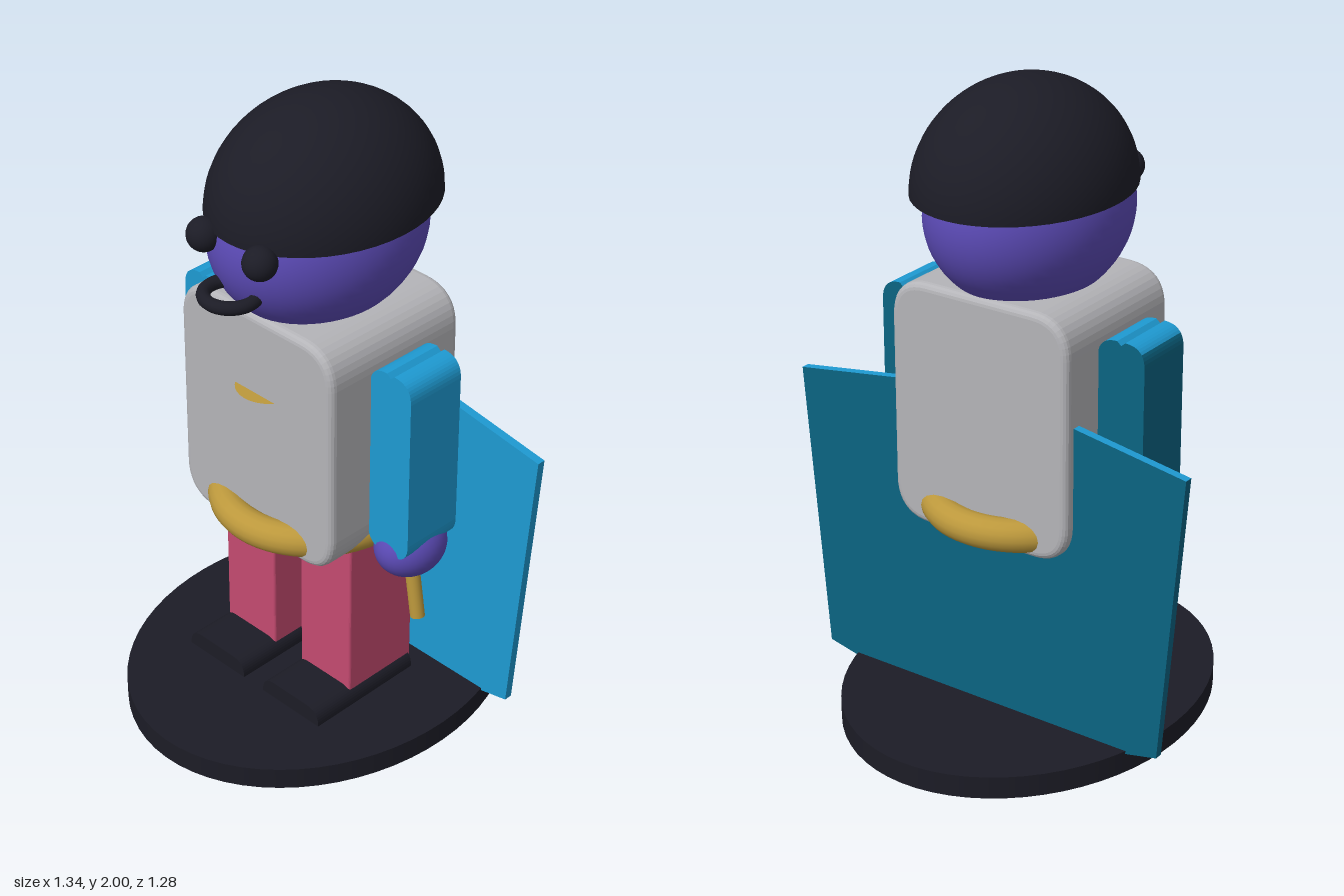
import * as THREE from 'three';

const mat = (name, color, side = THREE.FrontSide) => {
  const m = new THREE.MeshStandardMaterial({ color, side });
  m.name = name;
  return m;
};

// Rounded rectangle centred on the origin; lobe cuts a small notch into both ends
function roundedShape(w, h, r, lobe = 0) {
  const x = w / 2, y = h / 2, s = new THREE.Shape();
  s.moveTo(-x, -y + r);
  s.quadraticCurveTo(-x, -y, -x + r, -y);
  if (lobe) s.lineTo(0, -y + lobe);
  s.lineTo(x - r, -y);
  s.quadraticCurveTo(x, -y, x, -y + r);
  s.lineTo(x, y - r);
  s.quadraticCurveTo(x, y, x - r, y);
  if (lobe) s.lineTo(0, y - lobe);
  s.lineTo(-x + r, y);
  s.quadraticCurveTo(-x, y, -x, y - r);
  return s;
}

// Block with the rounded outline facing front, sized w x h x d overall
function roundedBlock(w, h, d, r, bevel = 0, lobe = 0) {
  const g = new THREE.ExtrudeGeometry(
    roundedShape(w - 2 * bevel, h - 2 * bevel, r, lobe),
    {
      depth: d - 2 * bevel, curveSegments: 10, bevelEnabled: bevel > 0,
      bevelSize: bevel, bevelThickness: bevel, bevelSegments: 4
    });
  return g.translate(0, 0, -d / 2 + bevel);
}

// Two-tone cloth: back faces, and faces towards the model's right, take the second material
function twoTone(g) {
  const n = g.attributes.normal;
  g.clearGroups();
  for (let i = 0; i < n.count; i += 3) {
    g.addGroup(i, 3, n.getZ(i) < -0.5 || n.getX(i) < -0.8 ? 1 : 0);
  }
  return g;
}

export function createModel() {
  const model = new THREE.Group();
  model.name = 'figurine';
  const dark = mat('charcoal', 0x1c1c26, THREE.DoubleSide);
  const purple = mat('purple', 0x5b4ab5);
  const grey = mat('grey', 0xb4b4b8);
  const blue = mat('blue', 0x1e9ad2);
  const deepBlue = mat('deepBlue', 0x0a6482);
  const red = mat('red', 0xc44a70);
  const gold = mat('gold', 0xbc983c, THREE.DoubleSide);
  const cloth = [blue, deepBlue];

  const add = (name, geometry, material, x = 0, y = 0, z = 0) => {
    const mesh = new THREE.Mesh(geometry, material);
    mesh.name = name;
    mesh.position.set(x, y, z);
    model.add(mesh);
    return mesh;
  };

  // Oval stand
  add('base', new THREE.CylinderGeometry(1, 1, 0.07, 64).scale(0.525, 1, 0.64), dark, 0, 0.082, 0);

  // Body, belt and the thin chest disc that just breaks the surface
  add('torso', roundedBlock(0.608, 0.755, 0.51, 0.1, 0.022), grey, 0, 1.042, 0);
  const belt = new THREE.TorusGeometry(0.29, 0.05, 16, 64).rotateX(Math.PI / 2);
  add('belt', belt.scale(0.93, 1, 1), gold, 0, 0.722, 0);
  add('chestDisc', new THREE.CircleGeometry(0.1, 32).rotateX(-Math.PI / 2), gold, 0, 1.165, 0.195);

  // Head
  add('head', new THREE.SphereGeometry(1, 48, 32).scale(0.28, 0.28, 0.342), purple, 0, 1.615, 0.002);
  const dome = new THREE.SphereGeometry(1, 48, 20, 0, Math.PI * 2, 0, Math.PI / 2);
  add('hair', dome.scale(0.3, 0.315, 0.365), dark, 0, 1.685, -0.022);
  add('mouth', new THREE.TorusGeometry(0.075, 0.02, 12, 40).rotateX(Math.PI / 2), dark, 0, 1.525, 0.338);

  // Mirrored parts
  for (const [side, s] of [['left', 1], ['right', -1]]) {
    add(side + 'Eye', new THREE.SphereGeometry(0.05, 24, 16), dark, s * 0.11, 1.665, 0.331);
    add(side + 'Arm', twoTone(roundedBlock(0.155, 0.61, 0.2, 0.064, 0, 0.012)), cloth, s * 0.378, 1.022, 0);
    add(side + 'Hand', new THREE.SphereGeometry(1, 32, 20).scale(0.098, 0.098, 0.116), purple, s * 0.374, 0.705, 0);
    add(side + 'Leg', roundedBlock(0.207, 0.8, 0.265, 0.07, 0.008), red, s * 0.16, 0.435, 0.002);
    add(side + 'Shoe', roundedBlock(0.236, 0.115, 0.4, 0.05), dark, s * 0.16, 0.114, 0.08);
  }

  // Short stick held in the left hand
  const stick = add('stick', new THREE.CylinderGeometry(0.022, 0.022, 0.24, 20), gold, 0.41, 0.598, 0.022);
  stick.rotation.z = 0.16;

  // Flat cape with a darker back
  const outline = new THREE.Shape([
    [0, 0], [0.597, 0.13], [0.672, 1.032], [0, 1.138], [-0.672, 1.032], [-0.597, 0.13]
  ].map(([x, y]) => new THREE.Vector2(x, y)));
  const cape = new THREE.ExtrudeGeometry(outline, { depth: 0.026, bevelEnabled: false });
  add('cape', twoTone(cape), cloth, 0, 0, -0.22);

  return model;
}
